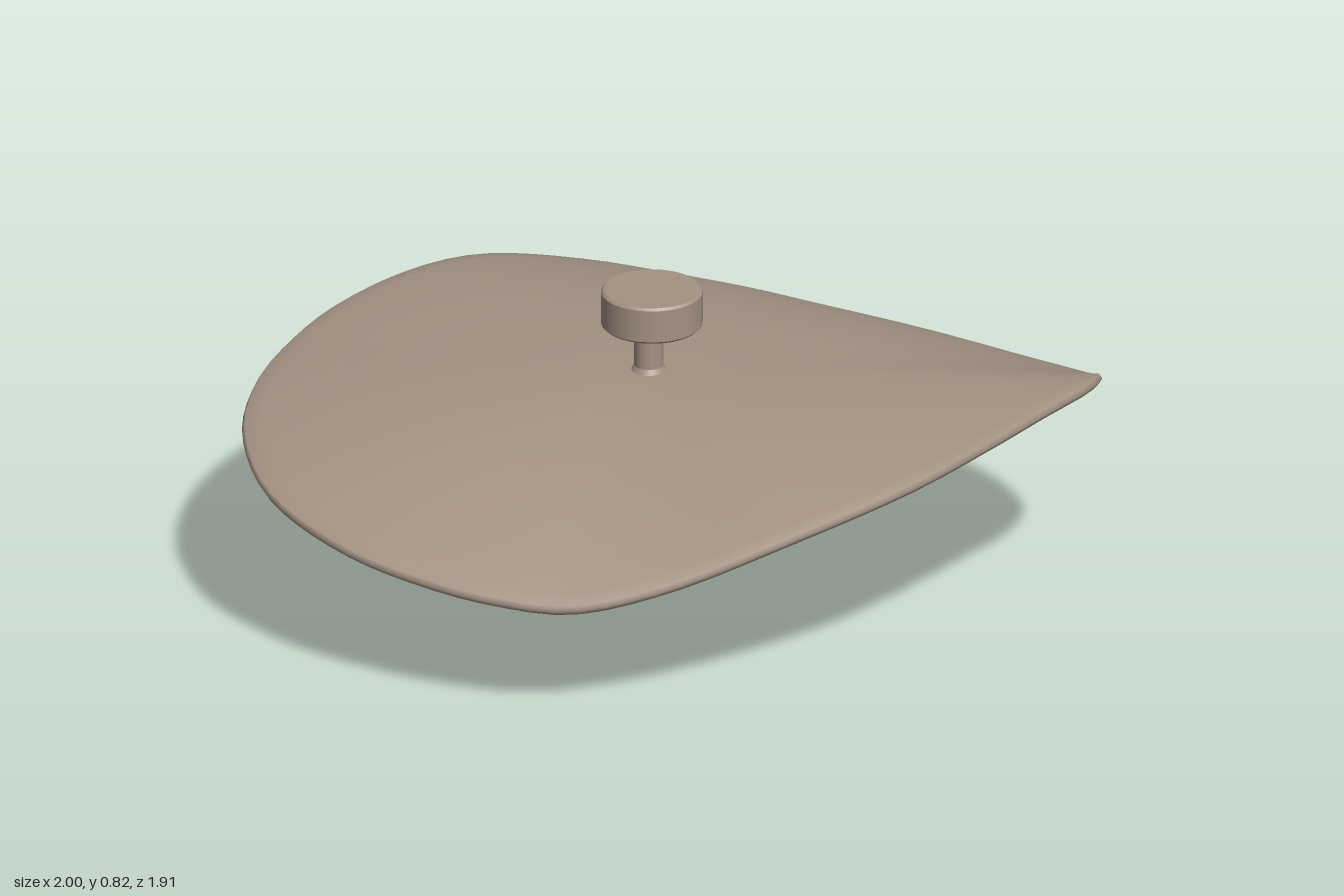
import * as THREE from 'three';

const SEG = 96;

// Smooth closed surface through rings; each ring is a function j -> Vector3
function loft(rings) {
  const pos = [], index = [];
  rings.forEach((ring) => {
    for (let j = 0; j < SEG; j++) pos.push(...ring(j).toArray());
  });
  for (let i = 0; i < rings.length - 1; i++) {
    for (let j = 0; j < SEG; j++) {
      const k = (j + 1) % SEG;
      const a = i * SEG + j, b = i * SEG + k, c = b + SEG, d = a + SEG;
      index.push(a, b, d, b, c, d);
    }
  }
  const g = new THREE.BufferGeometry();
  g.setAttribute('position', new THREE.Float32BufferAttribute(pos, 3));
  g.setIndex(index);
  g.computeVertexNormals();
  return g;
}

// Upper face outwards, round the rim, lower face back to the centre
function shellRings(upper, lower, edge, steps) {
  const rings = [];
  const at = (f, u) => (j) => f(Math.max(u, 0.002), j);
  for (let i = 0; i <= steps; i++) rings.push(at(upper, i / steps));
  rings.push(edge);
  for (let i = steps; i >= 0; i--) rings.push(at(lower, i / steps));
  return rings;
}

// Wavy leaf-like shade
function shadeGeometry() {
  const rim = [
    [0.98, 0.575, -0.51], [1.0, 0.59, -0.41], [0.97, 0.585, -0.24], [0.92, 0.567, -0.02],
    [0.83, 0.532, 0.24], [0.65, 0.468, 0.52], [0.4, 0.37, 0.76], [0.2, 0.325, 0.89],
    [0, 0.33, 0.94], [-0.18, 0.345, 0.95], [-0.42, 0.375, 0.925], [-0.7, 0.42, 0.8],
    [-0.9, 0.465, 0.56], [-0.98, 0.495, 0.33], [-1, 0.51, 0.15], [-0.98, 0.535, -0.07],
    [-0.9, 0.55, -0.34], [-0.8, 0.53, -0.56], [-0.6, 0.465, -0.785], [-0.4, 0.42, -0.89],
    [-0.2, 0.39, -0.945], [0, 0.375, -0.958], [0.4, 0.4, -0.9], [0.7, 0.445, -0.785],
    [0.9, 0.515, -0.63],
  ].map((p) => new THREE.Vector3(...p));
  const pts = new THREE.CatmullRomCurve3(rim, true).getSpacedPoints(SEG);
  const face = (side) => (u, j) => {
    const p = pts[j];
    const power = 2.5 - 0.6 * p.z / Math.hypot(p.x, p.z);
    const y = THREE.MathUtils.lerp(0.592, p.y, Math.pow(u, power));
    const s = u * 0.993;
    return new THREE.Vector3(p.x * s, y + side * 0.012, p.z * s);
  };
  return loft(shellRings(face(1), face(-1), (j) => pts[j], 24));
}

// Egg-shaped reflector bowl with a slanted rim
function bowlGeometry() {
  const cx = -0.04, cz = 0.017, bottom = 0.075;
  const face = (scale, lift) => (u, j) => {
    const t = (j / SEG) * Math.PI * 2;
    const end = THREE.MathUtils.degToRad(74 + 18 * Math.cos(t));
    const r = scale * Math.sin(u * end) / Math.sin(end);
    const h = (1 - Math.cos(u * end)) / (1 - Math.cos(end));
    const rimX = cx + 0.43 * Math.cos(t);
    const rimY = 0.33 + 0.163 * (rimX + 0.47);
    return new THREE.Vector3(
      cx + 0.43 * Math.cos(t) * r,
      THREE.MathUtils.lerp(bottom + lift, rimY, h),
      cz + 0.28 * Math.sin(t - 0.2) * r,
    );
  };
  const inner = face(0.96, 0.015), outer = face(1, 0);
  const edge = (j) => inner(1, j).lerp(outer(1, j), 0.5).add(new THREE.Vector3(0, 0.004, 0));
  return loft(shellRings(inner, outer, edge, 28));
}

export function createModel() {
  const group = new THREE.Group();
  const taupe = new THREE.MeshStandardMaterial({ color: 0xa39283 });
  taupe.name = 'taupe';

  const add = (name, geometry) => {
    const mesh = new THREE.Mesh(geometry, taupe);
    mesh.name = name;
    group.add(mesh);
  };
  const cylinder = (name, rTop, rBottom, y0, y1, x, z) => add(name,
    new THREE.CylinderGeometry(rTop, rBottom, y1 - y0, 48).translate(x, (y0 + y1) / 2, z));

  add('shade', shadeGeometry());
  add('bowl', bowlGeometry());

  // Ceiling mount with softened rims
  cylinder('canopy', 0.128, 0.128, 0.73, 0.815, -0.026, 0.008);
  cylinder('canopyTopEdge', 0.122, 0.128, 0.815, 0.821, -0.026, 0.008);
  cylinder('canopyBottomEdge', 0.128, 0.122, 0.724, 0.73, -0.026, 0.008);

  // Rod through the shade into the bowl, with a small collar
  cylinder('stem', 0.037, 0.037, 0.58, 0.726, -0.031, 0.015);
  cylinder('stemCollar', 0.037, 0.046, 0.6, 0.616, -0.031, 0.015);
  cylinder('lowerStem', 0.031, 0.031, 0.08, 0.59, -0.031, 0.012);

  // Pull knob under the bowl
  cylinder('knob', 0.026, 0.024, 0.004, 0.1, -0.03, -0.003);
  cylinder('knobTip', 0.024, 0.02, 0, 0.004, -0.03, -0.003);
  return group;
}
